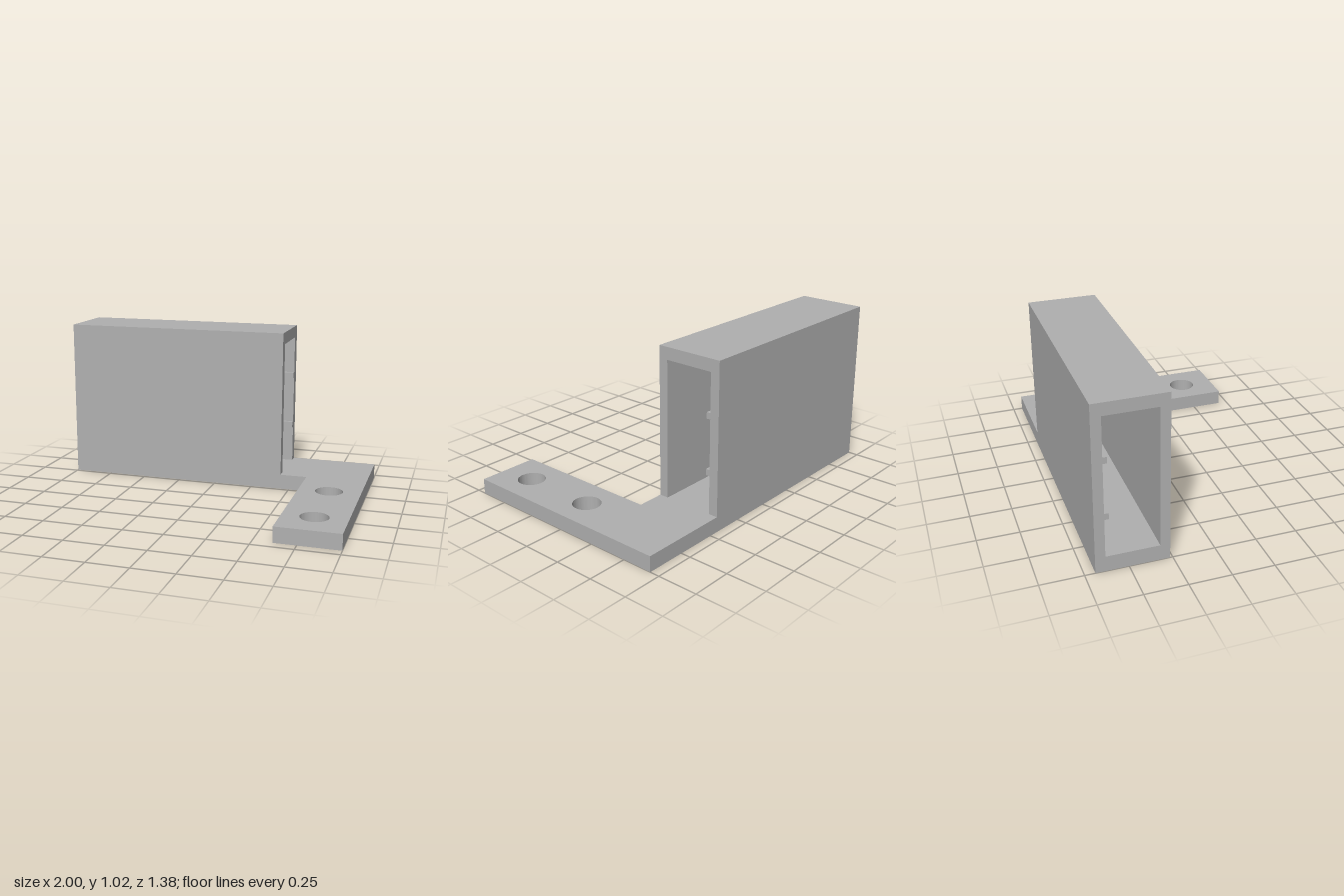
import * as THREE from 'three';
import { toCreasedNormals } from 'three/addons/utils/BufferGeometryUtils.js';

const BASE_TOP = 0.095;
const BACK = -0.69;

const toShape = (points) => new THREE.Shape(points.map(([x, y]) => new THREE.Vector2(x, y)));

function extrude(shape, depth) {
  const geometry = new THREE.ExtrudeGeometry(shape, { depth, bevelEnabled: false, curveSegments: 32 });
  return toCreasedNormals(geometry, 0.5);
}

export function createModel() {
  const model = new THREE.Group();
  model.name = 'mountingBracket';
  const grey = new THREE.MeshStandardMaterial({ color: 0xb0b0b0 });
  grey.name = 'grey';

  const add = (name, geometry) => {
    const mesh = new THREE.Mesh(geometry, grey);
    mesh.name = name;
    model.add(mesh);
    return mesh;
  };

  // L-shaped base plate with two screw holes, drawn as (x, -z)
  const plate = toShape([
    [-1, 0.265], [0.615, 0.265], [0.615, -0.69], [1, -0.69], [1, -BACK], [-1, -BACK],
  ]);
  for (const z of [-0.015, 0.47]) {
    plate.holes.push(new THREE.Path().absarc(0.805, -z, 0.085, 0, Math.PI * 2, true));
  }
  add('basePlate', extrude(plate, BASE_TOP).rotateX(-Math.PI / 2));

  // Open-ended housing: two walls and a roof, drawn as (-z, y) and run along x
  const arch = toShape([
    [0.265, BASE_TOP], [0.322, BASE_TOP], [0.322, 0.945], [0.632, 0.945],
    [0.632, BASE_TOP], [0.69, BASE_TOP], [0.69, 1.02], [0.265, 1.02],
  ]);
  add('housing', extrude(arch, 1.445).rotateY(Math.PI / 2).translate(-1, 0, 0));

  // Two guide rails inside the back wall
  for (const [name, y] of [['lowerRail', 0.35], ['upperRail', 0.69]]) {
    add(name, new THREE.BoxGeometry(1.445, 0.038, 0.025)).position.set(-0.2775, y, -0.6195);
  }

  return model;
}
